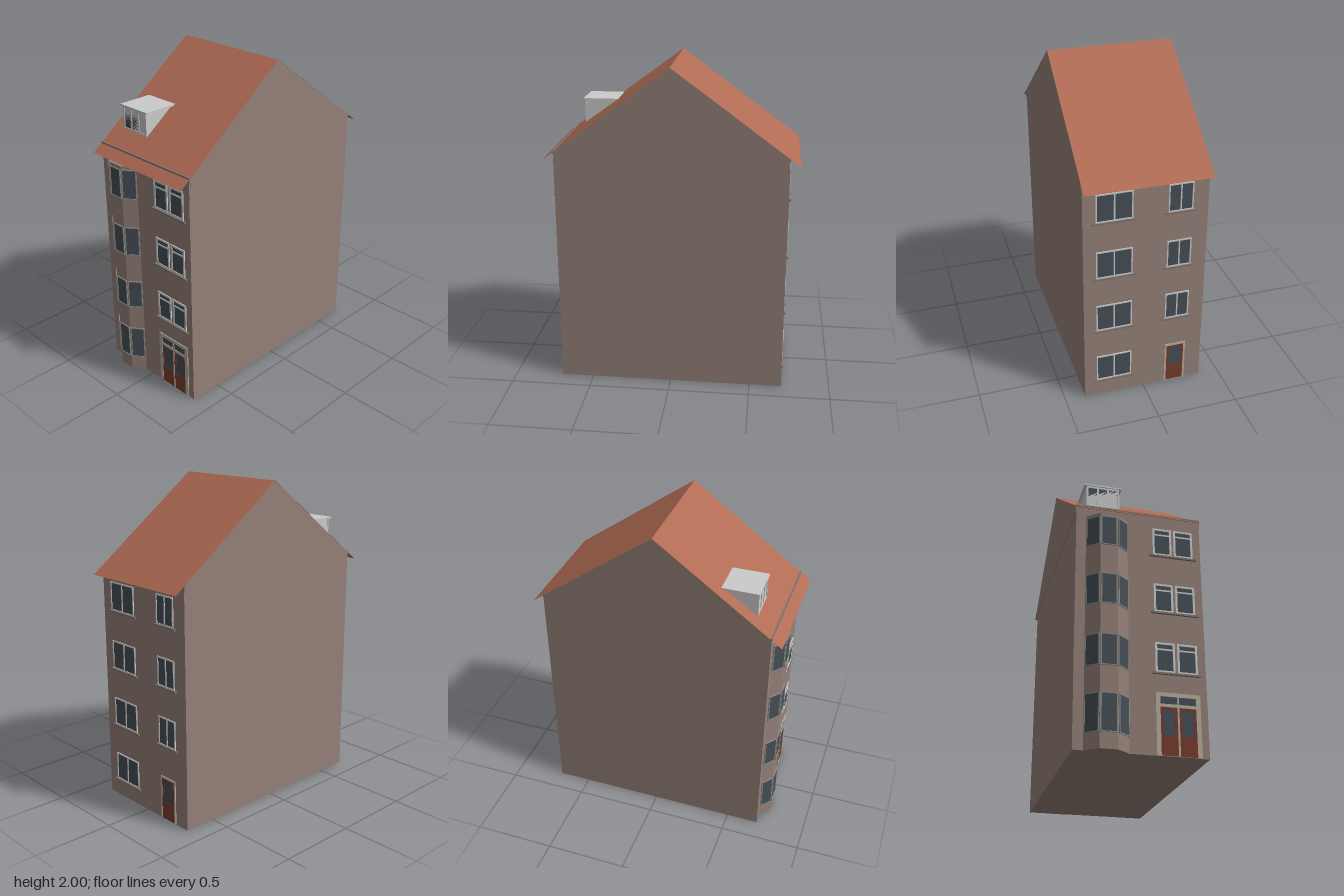
import * as THREE from 'three';

const paint = (color, side = THREE.FrontSide) => new THREE.MeshStandardMaterial({ color, side });

export function createModel() {
  const model = new THREE.Group();
  model.name = 'townHouse';
  const wall = paint(0x958179), tile = paint(0xb06b54, THREE.DoubleSide), grey = paint(0xcccccc);
  const glass = paint(0x454e56), frame = paint(0xd0d0d0), darkFrame = paint(0x8c8c8a);
  const wood = paint(0x783c2c), stone = paint(0xb5ad9f), sill = paint(0x82746c);

  const W = 0.375, D = 0.7, RIDGE = 2, EAVE = 1.485;

  const add = (parent, name, geometry, material) => {
    const mesh = new THREE.Mesh(geometry, material);
    mesh.name = name;
    parent.add(mesh);
    return mesh;
  };
  const box = (parent, name, x0, x1, y0, y1, z0, z1, material) => add(parent, name,
    new THREE.BoxGeometry(x1 - x0, y1 - y0, z1 - z0)
      .translate((x0 + x1) / 2, (y0 + y1) / 2, (z0 + z1) / 2), material);
  const group = (name, parent = model) => {
    const g = new THREE.Group();
    g.name = name;
    parent.add(g);
    return g;
  };
  const outline = points => new THREE.Shape(points.map(p => new THREE.Vector2(...p)));
  const rect = (x0, x1, y0, y1) => [[x0, y0], [x1, y0], [x1, y1], [x0, y1]];
  const extrude = (shape, depth) => new THREE.ExtrudeGeometry(shape, { depth, bevelEnabled: false });
  // Profile given in (z, y), extruded along x and centred
  const crossSection = (points, width) =>
    extrude(outline(points.map(([z, y]) => [-z, y])), width).translate(0, 0, -width / 2).rotateY(Math.PI / 2);

  // Frame with rectangular openings
  const panel = (parent, name, [x0, x1, y0, y1], openings, depth, material) => {
    const shape = outline(rect(x0, x1, y0, y1));
    openings.forEach(o => shape.holes.push(outline(rect(...o))));
    return add(parent, name, extrude(shape, depth), material);
  };
  // Window with equal panes and an optional row of top lights
  const windowUnit = (parent, [x0, x1, y0, y1], panes, border, material, transom = false) => {
    const g = group('window', parent);
    const pitch = (x1 - x0 - border) / panes, openings = [];
    const split = y0 + (y1 - y0) * 0.74;
    for (let i = 0; i < panes; i++) {
      const a = x0 + border + i * pitch, b = a + pitch - border;
      if (transom) openings.push([a, b, y0 + border, split], [a, b, split + border * 0.8, y1 - border]);
      else openings.push([a, b, y0 + border, y1 - border]);
    }
    panel(g, 'windowFrame', [x0, x1, y0, y1], openings, 0.006, material);
    box(g, 'windowGlass', x0 + border / 2, x1 - border / 2, y0 + border / 2, y1 - border / 2, -0.004, 0.002, glass);
  };

  // Main body with gable outline
  add(model, 'walls', crossSection([[D, 0], [D, EAVE], [0, RIDGE - 0.003], [-D, EAVE], [-D, 0]], 2 * W), wall);
  for (const s of [-1, 1]) {
    const gable = add(model, 'gable', crossSection(
      [[0.69, 1.44], [D, EAVE], [0, RIDGE - 0.001], [-D, EAVE], [-0.69, 1.44]], 0.006), wall);
    gable.position.x = s * 0.377;
  }

  // Thin roof slopes with overhanging eaves
  const run = 0.765, drop = run * (RIDGE - EAVE) / D;
  for (const s of [-1, 1]) {
    const slope = add(model, 'roofSlope', new THREE.PlaneGeometry(0.762, Math.hypot(run, drop)), tile);
    slope.rotation.order = 'YXZ';
    slope.rotation.set(-Math.atan2(run, drop), s > 0 ? 0 : Math.PI, 0);
    slope.position.set(0, RIDGE - drop / 2, s * run / 2);
  }
  box(model, 'snowRail', -0.38, 0.38, 1.478, 1.492, 0.694, 0.704, sill);

  // Bay projecting from the front
  const plan = [[-0.316, 0.7], [-0.242, 0.758], [-0.142, 0.758], [-0.068, 0.7]];
  const bay = group('bay');
  add(bay, 'bayWalls', extrude(outline([...plan, [-0.068, 0.68], [-0.316, 0.68]].map(([x, z]) => [x, -z])), 1.42)
    .rotateX(-Math.PI / 2), wall);
  const floors = [[0.09, 0.31], [0.465, 0.652], [0.835, 1.025], [1.21, 1.4]];
  for (let i = 0; i < 3; i++) {
    const [ax, az] = plan[i], [bx, bz] = plan[i + 1];
    const facet = group('bayFacet', bay);
    facet.position.set((ax + bx) / 2, 0, (az + bz) / 2);
    facet.rotation.y = -Math.atan2(bz - az, bx - ax);
    const half = Math.hypot(bx - ax, bz - az) / 2 - 0.003;
    for (const [y0, y1] of floors) windowUnit(facet, [-half, half, y0, y1], 1, 0.006, darkFrame);
  }

  // Front casements and sills
  const front = group('frontFacade');
  front.position.z = D;
  for (const y of [0.475, 0.845, 1.215]) {
    for (const [a, b] of [[0.083, 0.197], [0.211, 0.327]])
      windowUnit(front, [a, b, y, y + 0.18], 1, 0.012, frame, true);
    box(front, 'windowSill', 0.065, 0.345, y - 0.011, y, 0, 0.012, sill);
  }

  // Front double door with a fanlight
  const door = group('frontDoor', front);
  const leaves = [[0.105, 0.2], [0.212, 0.307]];
  panel(door, 'doorSurround', [0.08, 0.333, 0, 0.358],
    [[0.105, 0.307, 0.293, 0.335], [0.105, 0.307, 0.002, 0.275]], 0.006, stone);
  box(door, 'fanlightGlass', 0.1, 0.312, 0.29, 0.338, -0.004, 0.002, glass);
  for (const x of [0.206]) box(door, 'doorPost', x - 0.005, x + 0.005, 0, 0.335, 0, 0.006, stone);
  for (const [a, b] of leaves) {
    panel(door, 'doorLeaf', [a, b, 0, 0.275], [[a + 0.014, b - 0.014, 0.115, 0.262]], 0.004, wood);
    box(door, 'doorGlass', a + 0.01, b - 0.01, 0.11, 0.266, -0.004, 0.002, glass);
  }

  // Back facade, built facing +z and turned around
  const back = group('backFacade');
  back.position.z = -D;
  back.rotation.y = Math.PI;
  [0.11, 0.483, 0.853, 1.223].forEach((y, floor) => {
    const openings = [[-0.3, -0.08]];
    if (floor > 0) openings.push([0.13, 0.28]);
    for (const [a, b] of openings) {
      windowUnit(back, [a, b, y, y + 0.178], 2, 0.008, frame);
      box(back, 'windowSill', a - 0.018, b + 0.018, y - 0.011, y, 0, 0.012, sill);
    }
  });
  const backDoor = group('backDoor', back);
  panel(backDoor, 'doorSurround', [0.138, 0.272, 0, 0.28], [[0.15, 0.26, 0.002, 0.267]], 0.006, stone);
  panel(backDoor, 'doorLeaf', [0.15, 0.26, 0, 0.267], [[0.167, 0.243, 0.115, 0.25]], 0.004, wood);
  box(backDoor, 'doorGlass', 0.16, 0.25, 0.11, 0.255, -0.004, 0.002, glass);

  // Dormer wedge with flat roof and three panes
  const dormer = group('dormer');
  dormer.position.x = -0.192;
  add(dormer, 'dormerBody', crossSection([[0.592, 1.566], [0.592, 1.712], [0.39, 1.712]], 0.2), grey);
  box(dormer, 'dormerRoof', -0.116, 0.116, 1.71, 1.72, 0.378, 0.602, grey);
  const dormerFront = group('dormerFront', dormer);
  dormerFront.position.z = 0.59;
  windowUnit(dormerFront, [-0.102, 0.102, 1.568, 1.71], 3, 0.012, grey);

  return model;
}
